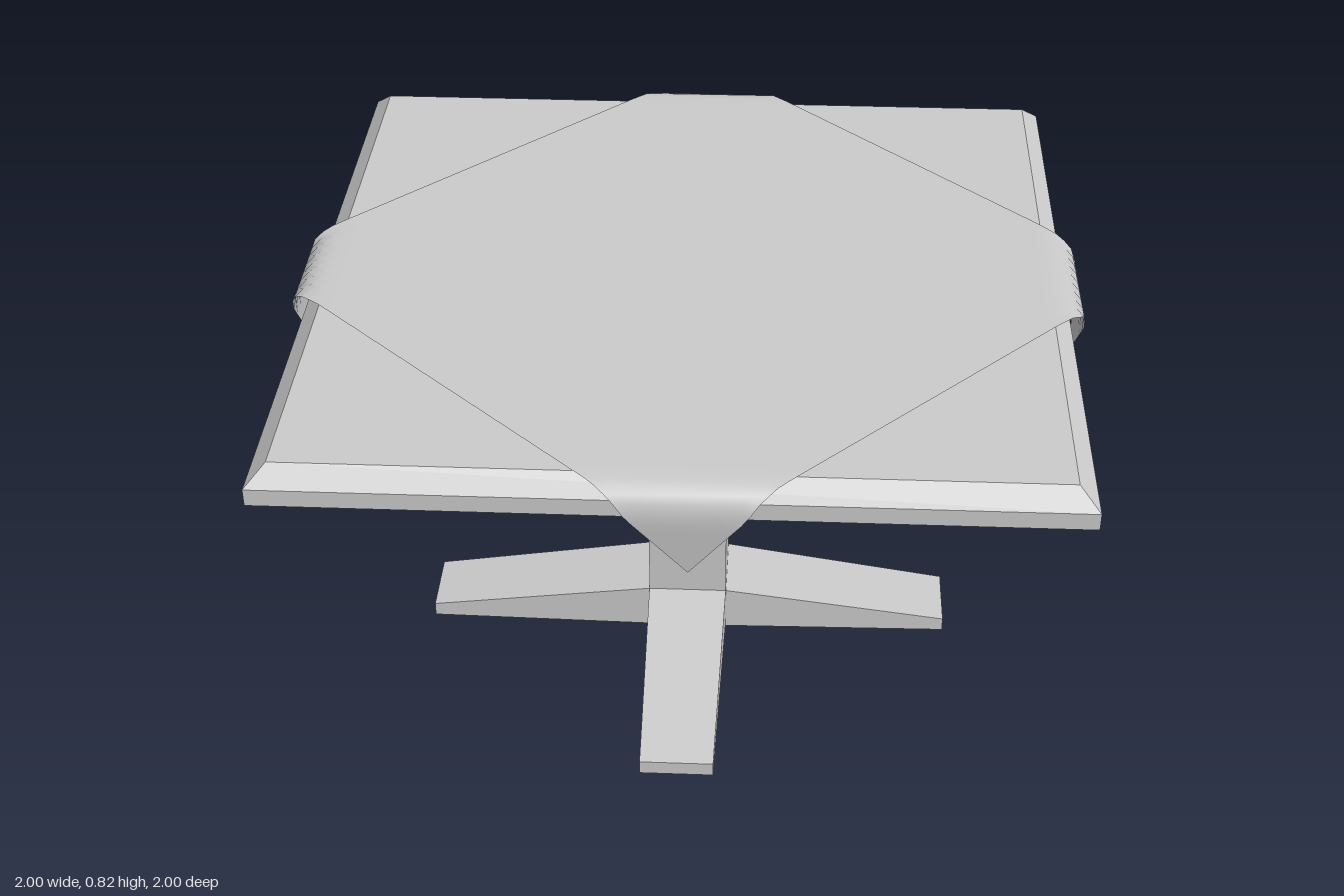
import * as THREE from 'three';

const flat = new THREE.MeshStandardMaterial({ color: 0xcccccc, flatShading: true, side: THREE.DoubleSide });
const smooth = new THREE.MeshStandardMaterial({ color: 0xcccccc, side: THREE.DoubleSide });

function addMesh(parent, name, geometry, material) {
  const mesh = new THREE.Mesh(geometry, material);
  mesh.name = name;
  parent.add(mesh);
  return mesh;
}

// Tapered foot running along +z, open underneath
function footGeometry() {
  const sections = [[0.078, 0.078, 0.092], [0.523, 0.07, 0.028]]; // z, half width, height
  const pos = [];
  for (const [z, w, h] of sections) pos.push(-w, 0, z, -w, h, z, w, h, z, w, 0, z);
  const geo = new THREE.BufferGeometry();
  geo.setAttribute('position', new THREE.Float32BufferAttribute(pos, 3));
  const index = [];
  for (let i = 0; i < 3; i++) index.push(i, i + 4, i + 1, i + 1, i + 4, i + 5);
  index.push(4, 7, 5, 5, 7, 6);
  geo.setIndex(index);
  geo.computeVertexNormals();
  return geo;
}

// Fold profile over the table edge: [t, |x|+|z|, y]
const fold = [[0, 0.95, 0.822], [0.2, 1.0, 0.819], [0.36, 1.035, 0.802], [0.48, 1.042, 0.768], [1, 1.025, 0.65]];

function foldAt(t) {
  let i = 0;
  while (i < fold.length - 2 && t > fold[i + 1][0]) i++;
  const [a, b] = [fold[i], fold[i + 1]];
  const k = (t - a[0]) / (b[0] - a[0]);
  return [a[1] + (b[1] - a[1]) * k, a[2] + (b[2] - a[2]) * k];
}

// Slightly skewed square cloth whose corners drop over the edges
function clothGeometry() {
  const corners = { '-1,-1': [-0.585, -0.6], '1,-1': [0.61, -0.593], '1,1': [0.635, 0.59], '-1,1': [-0.56, 0.61] };
  const geo = new THREE.PlaneGeometry(2, 2, 56, 56).rotateX(-Math.PI / 2);
  const p = geo.attributes.position;
  for (let i = 0; i < p.count; i++) {
    const u = p.getX(i), v = p.getZ(i);
    let x = 0, z = 0;
    for (const su of [-1, 1]) for (const sv of [-1, 1]) {
      const weight = (1 + su * u) * (1 + sv * v) / 4;
      x += corners[su + ',' + sv][0] * weight;
      z += corners[su + ',' + sv][1] * weight;
    }
    let y = 0.822;
    const s = Math.abs(x) + Math.abs(z);
    if (s > 0.95) {
      const sx = Math.sign(x), sz = Math.sign(z);
      const [cx, cz] = corners[sx + ',' + sz];
      const [sum, height] = foldAt((s - 0.95) / (Math.abs(cx) + Math.abs(cz) - 0.95));
      x += sx * (sum - s) / 2;
      z += sz * (sum - s) / 2;
      y = height;
    }
    p.setXYZ(i, x, y, z);
  }
  geo.computeVertexNormals();
  return geo;
}

export function createModel() {
  const group = new THREE.Group();
  group.name = 'table';

  // Square top turned 45 degrees, with a bevelled upper edge
  const profile = [[0, 0.75], [1, 0.75], [1, 0.782], [0.95, 0.815], [0, 0.815]].map(([r, y]) => new THREE.Vector2(r, y));
  addMesh(group, 'tableTop', new THREE.LatheGeometry(profile, 4), flat);

  // Hollow square post
  addMesh(group, 'post', new THREE.CylinderGeometry(0.11, 0.11, 0.75, 4, 1, true).translate(0, 0.375, 0), flat);

  // Four feet along the diagonals
  const foot = footGeometry();
  for (let i = 0; i < 4; i++) addMesh(group, 'foot' + (i + 1), foot, flat).rotation.y = Math.PI / 4 + i * Math.PI / 2;

  addMesh(group, 'tablecloth', clothGeometry(), smooth);
  return group;
}
